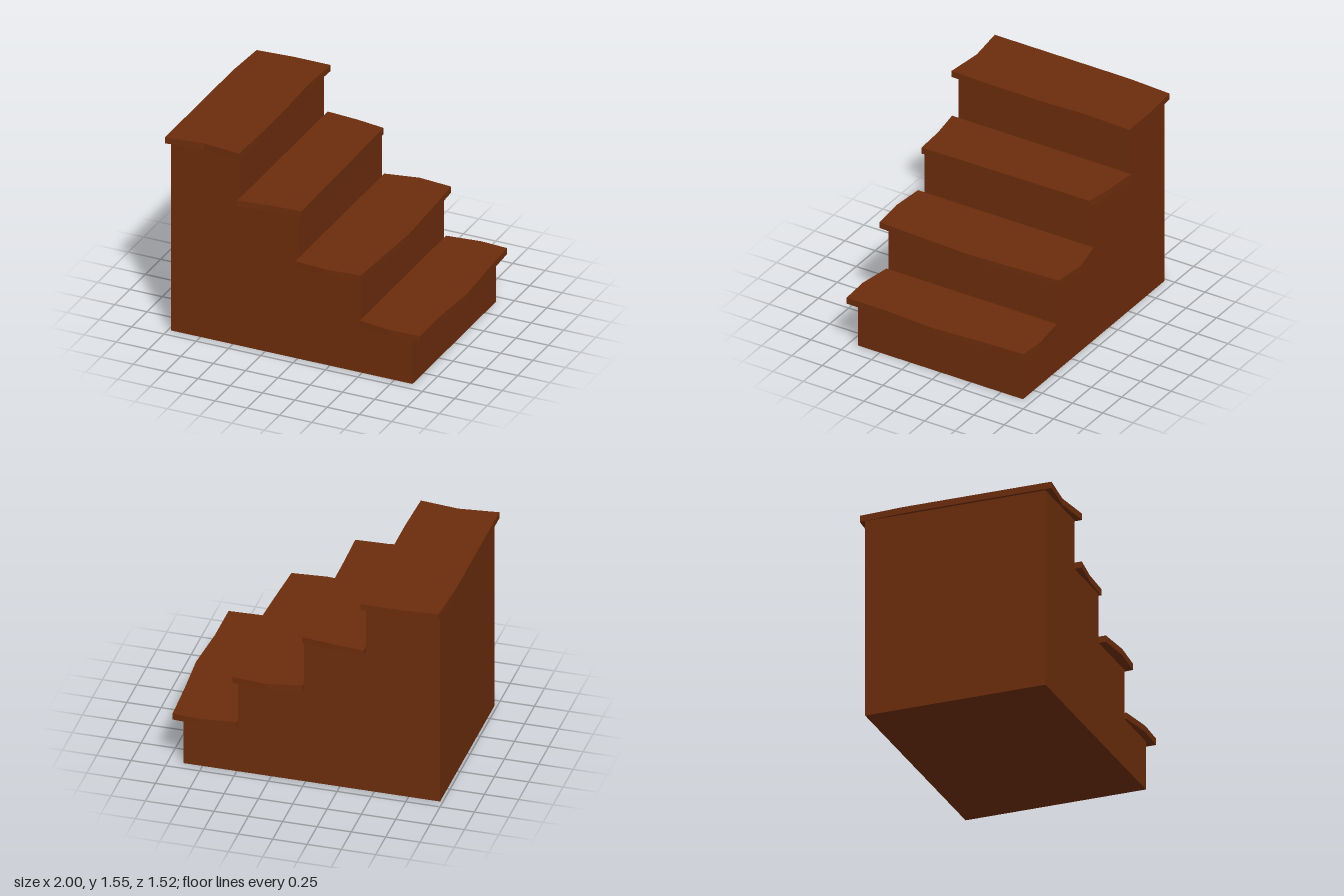
import * as THREE from 'three';

const wood = new THREE.MeshStandardMaterial({ color: 0x6b2c0c, flatShading: true });

// Extrude a 2D outline by depth
function extrude(points, depth) {
  const shape = new THREE.Shape(points.map(([x, y]) => new THREE.Vector2(x, y)));
  return new THREE.ExtrudeGeometry(shape, { depth, bevelEnabled: false });
}

export function createModel() {
  const group = new THREE.Group();
  const add = (name, geometry) => {
    const mesh = new THREE.Mesh(geometry, wood);
    mesh.name = name;
    group.add(mesh);
  };

  // Solid stepped body, rising towards -x
  const body = extrude([
    [-0.98, 0], [0.89, 0], [0.89, 0.37], [0.49, 0.37], [0.49, 0.75],
    [0.01, 0.75], [0.01, 1.13], [-0.44, 1.13], [-0.44, 1.5], [-0.98, 1.5],
  ], 1.36);
  body.translate(0, 0, -0.68);
  add('stairBody', body);

  // Uneven tread boards: underside height and outline as [x, z]
  const treads = [
    [0.37, [[0.49, -0.71], [0.75, -0.74], [0.955, -0.725], [0.97, -0.38], [0.995, 0],
      [0.97, 0.38], [0.97, 0.725], [0.74, 0.735], [0.49, 0.695]]],
    [0.75, [[0.01, -0.715], [0.26, -0.765], [0.515, -0.74], [0.535, -0.38], [0.553, 0],
      [0.535, 0.38], [0.515, 0.735], [0.26, 0.757], [0.01, 0.735]]],
    [1.127, [[-0.44, -0.74], [-0.2, -0.72], [0.02, -0.685], [0.022, -0.38], [0.027, 0],
      [0.03, 0.38], [0.037, 0.69], [-0.2, 0.7], [-0.44, 0.735]]],
    [1.5, [[-0.98, -0.72], [-0.7, -0.74], [-0.417, -0.74], [-0.432, -0.38], [-0.417, 0],
      [-0.417, 0.38], [-0.428, 0.733], [-0.71, 0.7], [-1, 0.733], [-1, -0.38]]],
  ];
  treads.forEach(([y, outline], i) => {
    const board = extrude(outline.map(([x, z]) => [x, -z]), 0.048);
    board.rotateX(-Math.PI / 2).translate(0, y, 0);
    add(`tread${i + 1}`, board);
  });

  return group;
}
